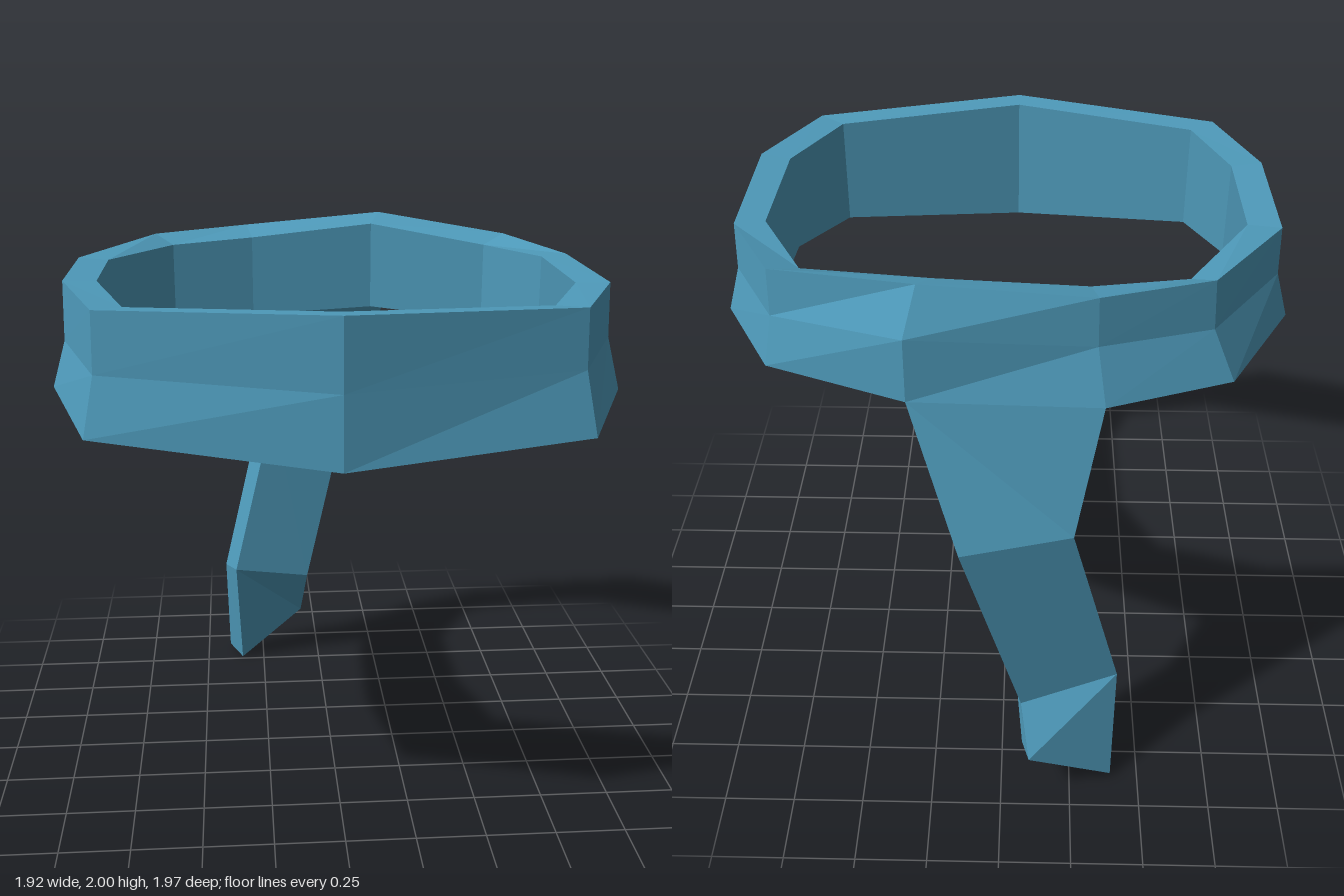
import * as THREE from 'three';

// Joins matching cross-sections with flat quads; flip(i, j) picks the other diagonal.
function loft(sections, { closed = false, capEnd = false, flip = () => false } = {}) {
  const pos = [];
  const tri = (...pts) => pts.forEach((p) => pos.push(...p));
  const n = sections.length;
  const m = sections[0].length;
  for (let i = 0; i < (closed ? n : n - 1); i++) {
    const s = sections[i];
    const t = sections[(i + 1) % n];
    for (let j = 0; j < m; j++) {
      const k = (j + 1) % m;
      const [a, b, c, d] = [s[j], t[j], t[k], s[k]];
      if (flip(i, j)) { tri(a, b, d); tri(b, c, d); }
      else { tri(a, b, c); tri(a, c, d); }
    }
  }
  if (capEnd) {
    const [a, b, c, d] = sections[n - 1];
    tri(a, d, c);
    tri(a, c, b);
  }
  const g = new THREE.BufferGeometry();
  g.setAttribute('position', new THREE.Float32BufferAttribute(pos, 3));
  g.computeVertexNormals();
  return g;
}

export function createModel() {
  const group = new THREE.Group();
  group.name = 'headband';
  const cloth = new THREE.MeshStandardMaterial({ color: 0x4e9aba, flatShading: true });
  cloth.name = 'blue cloth';

  // Band stations, from the front round by +x: lower edge xyz, upper edge xyz, inner xz, crease y
  const stations = [
    [-0.03, 1.43, 0.98, -0.03, 1.905, 0.97, -0.03, 0.88, 1.67],
    [0.78, 1.48, 0.83, 0.74, 1.885, 0.79, 0.65, 0.72, 1.69],
    [0.96, 1.53, 0.41, 0.91, 1.895, 0.40, 0.80, 0.37, 1.71],
    [0.95, 1.58, -0.18, 0.90, 1.905, -0.18, 0.80, -0.15, 1.74],
    [0.76, 1.60, -0.57, 0.73, 1.935, -0.54, 0.64, -0.47, 1.77],
    [0.29, 1.63, -0.81, 0.25, 2.00, -0.74, 0.21, -0.64, 1.85],
    [-0.32, 1.61, -0.80, -0.29, 1.955, -0.73, -0.27, -0.60, 1.79],
    [-0.73, 1.60, -0.63, -0.65, 1.94, -0.59, -0.58, -0.52, 1.77],
    [-0.96, 1.58, -0.18, -0.91, 1.91, -0.18, -0.80, -0.15, 1.74],
    [-0.96, 1.555, 0.34, -0.91, 1.91, 0.33, -0.80, 0.31, 1.71],
    [-0.82, 1.495, 0.79, -0.78, 1.89, 0.75, -0.69, 0.68, 1.69],
  ];
  const band = stations.map(([bx, by, bz, tx, ty, tz, ix, iz, my], i) => {
    const k = i === 5 ? 1 : 0.1; // the crease bulges outwards at the knot
    const dip = tz < -0.4 ? 0.035 : 0.005;
    return [
      [bx, by, bz],
      [tx + (bx - tx) * k, my, tz + (bz - tz) * k],
      [tx, ty, tz],
      [ix, ty - dip, iz],
      [ix, by, iz],
    ];
  });
  const bandMesh = new THREE.Mesh(loft(band, { closed: true }), cloth);
  bandMesh.name = 'band';

  // Hanging tail, starting from the underside of the band: outer +x, outer -x, inner -x, inner +x
  const tail = [
    [band[5][0], band[6][0], band[6][4], band[5][4]],
    [[0.13, 1.155, -0.975], [-0.235, 1.165, -0.885], [-0.19, 1.17, -0.77], [0.14, 1.17, -0.855]],
    [[-0.07, 0.385, -0.87], [-0.41, 0.45, -0.785], [-0.365, 0.465, -0.675], [-0.05, 0.40, -0.75]],
    [[-0.10, 0.22, -0.985], [-0.40, 0.02, -0.87], [-0.345, 0, -0.77], [-0.075, 0.185, -0.87]],
  ];
  const tailMesh = new THREE.Mesh(
    loft(tail, { capEnd: true, flip: (i, j) => i === 2 && j === 0 }), cloth);
  tailMesh.name = 'tail';

  group.add(bandMesh, tailMesh);
  return group;
}
